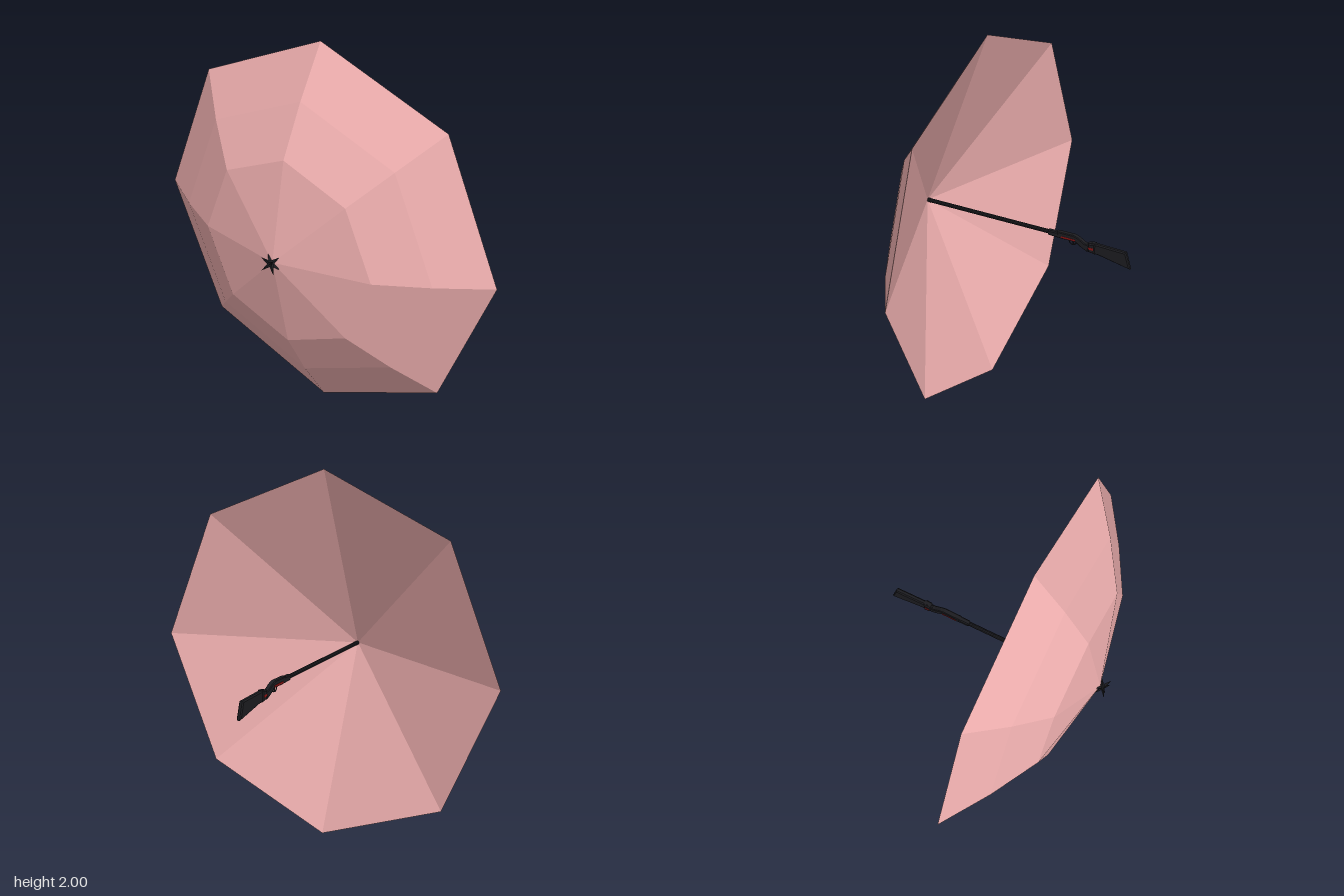
import * as THREE from 'three';

const mat = (color) => new THREE.MeshStandardMaterial({ color, flatShading: true });

export function createModel() {
  const model = new THREE.Group();
  const pink = mat(0xf0b0b0);
  const black = mat(0x1c1c20);
  const red = mat(0x8c1414);

  const add = (name, geometry, material, x = 0, y = 0, z = 0) => {
    const mesh = new THREE.Mesh(geometry, material);
    mesh.name = name;
    mesh.position.set(x, y, z);
    model.add(mesh);
    return mesh;
  };

  // Side outline given as [z, y] pairs, extruded across x with a small bevel
  const sidePlate = (points, width, bevel) => {
    const shape = new THREE.Shape(points.map(([z, y]) => new THREE.Vector2(z, y)));
    const depth = width - 2 * bevel;
    return new THREE.ExtrudeGeometry(shape, {
      depth, bevelEnabled: bevel > 0, bevelSize: bevel, bevelOffset: -bevel,
      bevelThickness: bevel, bevelSegments: 1,
    }).translate(0, 0, -depth / 2).rotateY(-Math.PI / 2);
  };

  // Octagonal canopy: stepped dome outside, plain cone inside
  const profile = [[0, 0.555], [1, 0.175], [0.75, 0.338], [0.5, 0.475], [0, 0.58]];
  const canopy = new THREE.LatheGeometry(
    profile.map(([r, z]) => new THREE.Vector2(r, z)), 8).rotateX(Math.PI / 2);
  add('canopy', canopy, pink, 0, 1, 0);

  // Spiked tip: a cube whose corners stay put while the rest is pulled in
  const tipGeometry = new THREE.BoxGeometry(2, 2, 2, 2, 2, 2);
  const p = tipGeometry.attributes.position;
  const v = new THREE.Vector3();
  for (let i = 0; i < p.count; i++) {
    v.fromBufferAttribute(p, i);
    const outer = Math.round(v.lengthSq());
    if (outer < 3) v.multiplyScalar(outer === 2 ? 0.36 : 0.45);
    p.setXYZ(i, v.x * 0.037, v.y * 0.037, v.z * 0.027);
  }
  add('tip', tipGeometry, black, 0, 1, 0.593);

  // Barrel used as the shaft, with a sleeve at its rear
  add('shaft', new THREE.CylinderGeometry(0.011, 0.011, 0.76, 10).rotateX(Math.PI / 2), black, 0, 1, 0.19);
  add('foreEnd', sidePlate([[-0.165, 1.013], [-0.165, 0.985], [-0.26, 0.981], [-0.26, 1.015]], 0.026, 0.005), black);

  // Receiver and wrist
  add('receiver', sidePlate([
    [-0.215, 1.018], [-0.225, 0.984], [-0.32, 0.984], [-0.35, 0.962], [-0.385, 0.945],
    [-0.4, 0.985], [-0.37, 0.99], [-0.335, 1.011], [-0.31, 1.02],
  ], 0.028, 0.004), black);

  // Shoulder stock and its collar
  add('stock', sidePlate([
    [-0.375, 0.985], [-0.375, 0.95], [-0.4, 0.943], [-0.45, 0.94],
    [-0.62, 0.905], [-0.594, 0.996], [-0.41, 1.002],
  ], 0.025, 0.006), black);
  add('collar', sidePlate([[-0.39, 0.997], [-0.39, 0.949], [-0.428, 0.943], [-0.428, 1.003]], 0.036, 0.006), black);

  // Trigger and guard
  add('triggerGuard', new THREE.TorusGeometry(0.02, 0.003, 6, 16).rotateY(Math.PI / 2), black, 0, 0.979, -0.3);
  const trigger = add('trigger', new THREE.BoxGeometry(0.005, 0.024, 0.005), black, 0, 0.975, -0.302);
  trigger.rotation.x = 0.3;

  // Red inlays on both sides
  for (const side of [-1, 1]) {
    add('receiverInlay', new THREE.BoxGeometry(0.003, 0.01, 0.08), red, side * 0.0138, 0.994, -0.28);
    add('collarInlay', new THREE.BoxGeometry(0.003, 0.012, 0.026), red, side * 0.0175, 0.972, -0.408);
  }
  return model;
}
